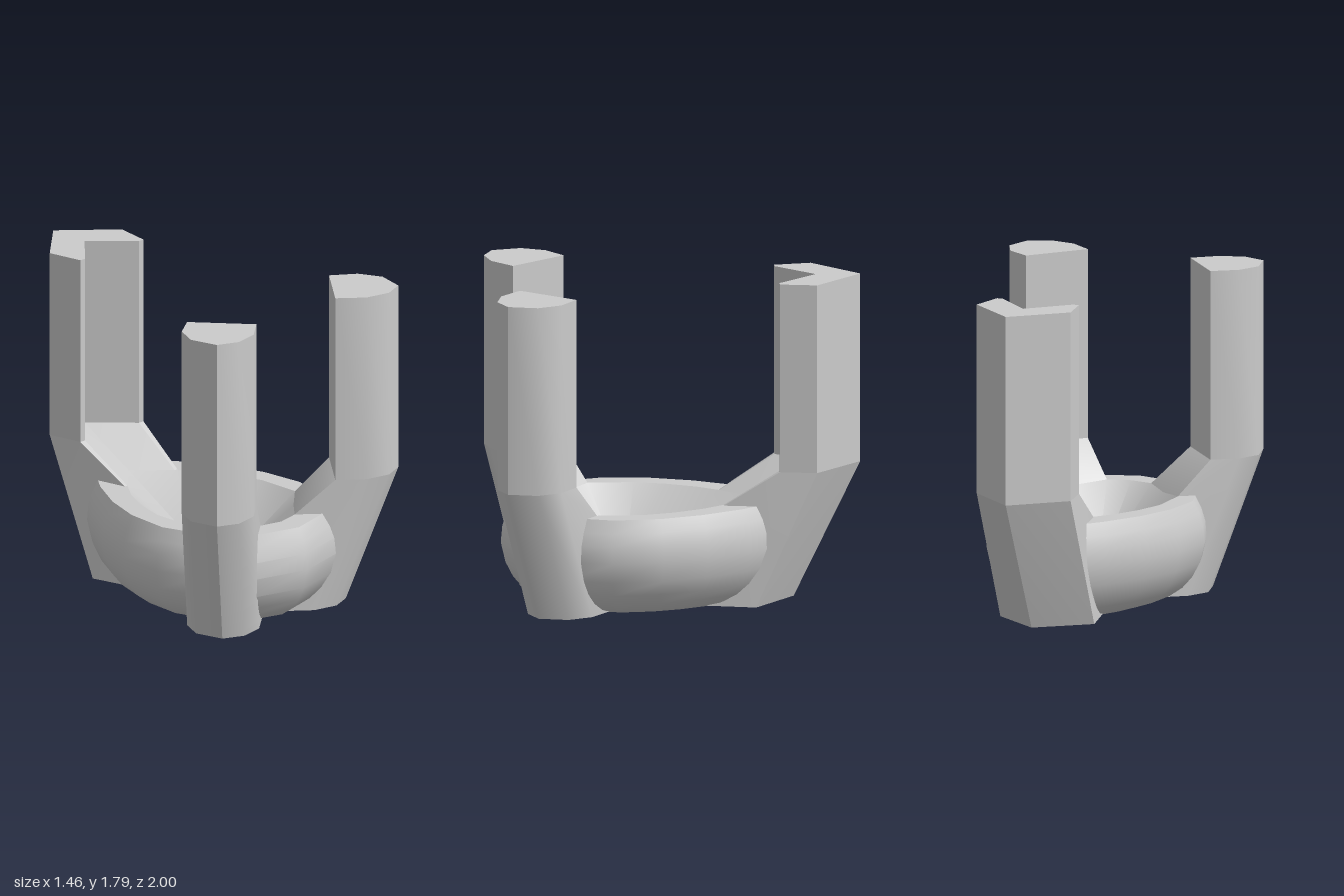
import * as THREE from 'three';
import { toCreasedNormals } from 'three/addons/utils/BufferGeometryUtils.js';
import { ConvexGeometry } from 'three/addons/geometries/ConvexGeometry.js';

const BASE = 0.01, RIM = 0.56, BEND = 0.75, TOP = 1.79;
const material = new THREE.MeshStandardMaterial({ color: 0xcccccc });

function part(name, geometry, crease = 0.5) {
  const mesh = new THREE.Mesh(toCreasedNormals(geometry, crease), material);
  mesh.name = name;
  return mesh;
}

// Upright prism over a plan outline of [x, z] points
function prism(outline, y0, y1) {
  const shape = new THREE.Shape(outline.map(([x, z]) => new THREE.Vector2(x, -z)));
  const g = new THREE.ExtrudeGeometry(shape, { depth: y1 - y0, bevelEnabled: false });
  return g.rotateX(-Math.PI / 2).translate(0, y0, 0);
}

const level = (plan, y) => plan.map(([x, z]) => new THREE.Vector3(x, y, z));

// Full ring from a right-hand half outline running front to back
const ring = half => [...half, ...half.slice(1, -1).reverse().map(([x, z]) => [-x, z])];

// Surface through equal-length rings, skipping collapsed triangles
function loft(rings) {
  const pos = [];
  const tri = (a, b, c) => {
    if (a.distanceTo(b) > 1e-6 && b.distanceTo(c) > 1e-6 && a.distanceTo(c) > 1e-6)
      for (const p of [a, b, c]) pos.push(p.x, p.y, p.z);
  };
  for (let k = 0; k < rings.length - 1; k++) {
    const a = rings[k], b = rings[k + 1], n = a.length;
    for (let i = 0; i < n; i++) {
      const j = (i + 1) % n;
      tri(a[i], a[j], b[j]);
      tri(a[i], b[j], b[i]);
    }
  }
  const g = new THREE.BufferGeometry();
  g.setAttribute('position', new THREE.Float32BufferAttribute(pos, 3));
  return g;
}

// Egg-shaped bowl: bulging wall, flat rim, conical hollow
function bowl() {
  const outer = ring([[0, 0.945], [0.3, 0.865], [0.5, 0.63], [0.585, 0.38], [0.56, 0.1],
    [0.47, -0.15], [0.33, -0.39], [0.18, -0.58], [0, -0.77]]);
  const inner = ring([[0, 0.75], [0.13, 0.72], [0.27, 0.59], [0.4, 0.45], [0.4, 0.2],
    [0.35, 0.03], [0.27, -0.13], [0.18, -0.25], [0, -0.42]]);
  const inset = d => outer.map(([x, z]) => [x * (1 - 1.75 * d), 0.2 + (z - 0.2) * (1 - 1.37 * d)]);
  const point = (z, y) => level(outer.map(() => [0, z]), y);
  const wall = [[0, 0.275], [0.03, 0.185], [0.08, 0.115], [0.14, 0.065], [0.22, 0.025],
    [0.33, 0], [0.42, 0.008], [0.49, 0.028], [RIM, 0.06]];
  return loft([point(0.2, 0), ...wall.map(([y, d]) => level(inset(d), y)),
    level(inner, RIM), point(0.28, 0.16)]);
}

// Front prong: rounded upright with a flat inner face, on a foot leaning in under the bowl
function frontProng(side) {
  const mirror = plan => plan.map(([x, z]) => [x * side, z]);
  const shift = plan => plan.map(([x, z]) => [x - 0.22, z - 0.18]);
  const post = [[0.54, 0.57], [0.67, 0.66], [0.73, 0.79], [0.69, 0.95], [0.57, 1], [0.43, 0.97], [0.3, 0.86]];
  const root = [[0.4, 0.45], [0.13, 0.72]];
  const group = new THREE.Group();
  group.name = side > 0 ? 'leftFrontProng' : 'rightFrontProng';
  group.add(
    part('prongPost', prism(mirror(post), BEND, TOP), 0.8),
    part('prongFoot', new ConvexGeometry([
      ...level(mirror(post), BEND), ...level(mirror(root), RIM),
      ...level(mirror(shift([...post, ...root])), BASE)]), 0.7));
  return group;
}

// Back prong: V-grooved upright on a foot made of two mirrored halves
function backProng() {
  const half = [[0, -1], [0.275, -0.75], [0.24, -0.55], [0.205, -0.55], [0, -0.76]];
  const root = [[0.2, -0.25], [0.18, -0.25], [0, -0.42]];
  const sole = [[0, -0.64], [0.275, -0.42], [0.2, -0.1], [0, -0.1]];
  const mirrored = half.slice(1, -1).reverse().map(([x, z]) => [-x, z]);
  const group = new THREE.Group();
  group.name = 'backProng';
  group.add(part('prongPost', prism([...half, ...mirrored], BEND, TOP), 0.1));
  for (const s of [1, -1]) {
    const flip = plan => plan.map(([x, z]) => [x * s, z]);
    group.add(part(s > 0 ? 'leftFootHalf' : 'rightFootHalf', new ConvexGeometry([
      ...level(flip(half), BEND), ...level(flip(root), RIM), ...level(flip(sole), BASE)]), 0.1));
  }
  return group;
}

export function createModel() {
  const model = new THREE.Group();
  model.name = 'prongedBowl';
  model.add(part('bowl', bowl(), 0.62), frontProng(1), frontProng(-1), backProng());
  return model;
}
